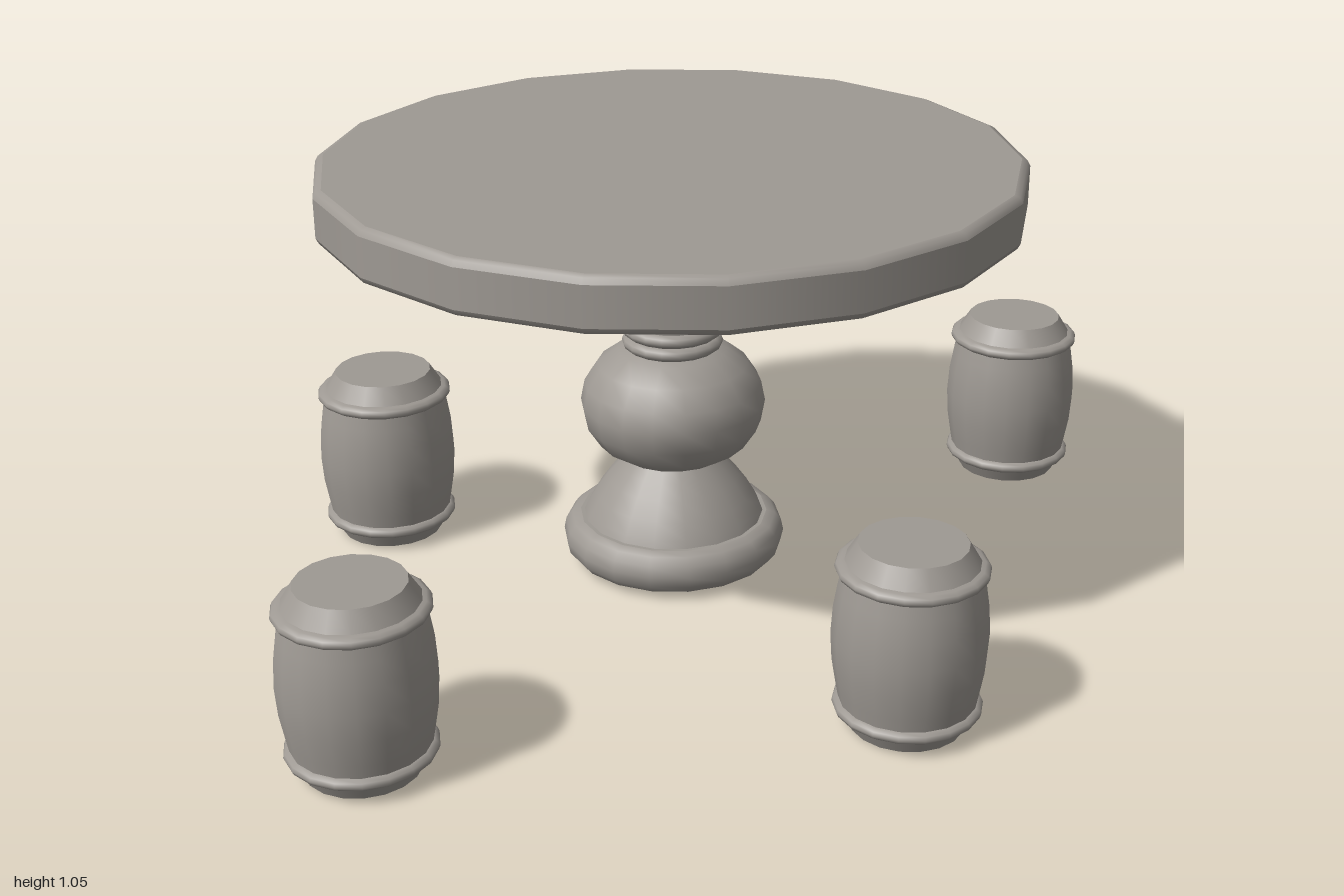
import * as THREE from 'three';

const SIDES = 18;
const stone = new THREE.MeshStandardMaterial({ color: 0x9e9993 });
stone.name = 'stone';

// Turned part from [radius, y] pairs, bottom to top; a repeated point makes a sharp edge
function turned(name, profile) {
  const points = profile.map(([r, y]) => new THREE.Vector2(r, y));
  const mesh = new THREE.Mesh(new THREE.LatheGeometry(points, SIDES, Math.PI / 2), stone);
  mesh.name = name;
  return mesh;
}

// Half-round band profile
function band(inner, outer, y0, y1, steps = 6) {
  const points = [];
  for (let i = 0; i <= steps; i++) {
    const a = Math.PI * i / steps;
    points.push([inner + (outer - inner) * Math.sin(a), (y0 + y1) / 2 - Math.cos(a) * (y1 - y0) / 2]);
  }
  return points;
}

function createTable() {
  const table = new THREE.Group();
  table.name = 'table';
  // Round top with softened rims
  table.add(turned('tableTop', [
    [0, 0.918], [0.825, 0.918], [0.825, 0.918], [0.838, 0.923], [0.845, 0.936], [0.845, 0.936],
    [0.845, 1.03], [0.845, 1.03], [0.838, 1.043], [0.825, 1.048], [0.825, 1.048], [0, 1.048],
  ]));
  // Rounded foot
  table.add(turned('foot', [
    [0, 0.014], [0.235, 0.014], [0.235, 0.014],
    ...band(0.235, 0.278, 0.014, 0.122),
    [0.235, 0.122], [0, 0.122],
  ]));
  // Bell above the foot
  table.add(turned('bell', [
    [0.228, 0.115], [0.217, 0.14], [0.195, 0.178], [0.165, 0.22], [0.135, 0.255], [0.1, 0.295],
  ]));
  // Bulb
  table.add(turned('bulb', [
    [0, 0.28], [0.09, 0.283], [0.138, 0.29], [0.185, 0.32], [0.218, 0.37], [0.228, 0.425],
    [0.218, 0.475], [0.185, 0.525], [0.135, 0.562], [0.1, 0.572],
  ]));
  // Collar rings
  table.add(turned('lowerCollar', band(0.1, 0.124, 0.566, 0.602)));
  table.add(turned('upperCollar', band(0.1, 0.124, 0.6, 0.636)));
  // Column
  table.add(turned('column', [[0.108, 0.56], [0.108, 0.925]]));
  table.position.set(-0.085, 0, -0.167);
  return table;
}

function createStool(x, z) {
  const stool = new THREE.Group();
  stool.name = 'stool';
  // Barrel body with narrowed, flat ends
  stool.add(turned('barrel', [
    [0, 0], [0.128, 0], [0.128, 0], [0.148, 0.04], [0.148, 0.04], [0.158, 0.095], [0.168, 0.155],
    [0.172, 0.22], [0.168, 0.285], [0.16, 0.335], [0.148, 0.395], [0.148, 0.395],
    [0.12, 0.44], [0.12, 0.44], [0, 0.44],
  ]));
  // Hoops
  stool.add(turned('lowerHoop', band(0.143, 0.166, 0.034, 0.066)));
  stool.add(turned('upperHoop', band(0.143, 0.168, 0.366, 0.398)));
  stool.position.set(x, 0, z);
  return stool;
}

export function createModel() {
  const model = new THREE.Group();
  model.name = 'tableWithStools';
  model.add(createTable());
  for (const [x, z] of [[0.822, -0.73], [0.455, 0.62], [-0.708, 0.82], [-0.828, -0.305]]) {
    model.add(createStool(x, z));
  }
  return model;
}
